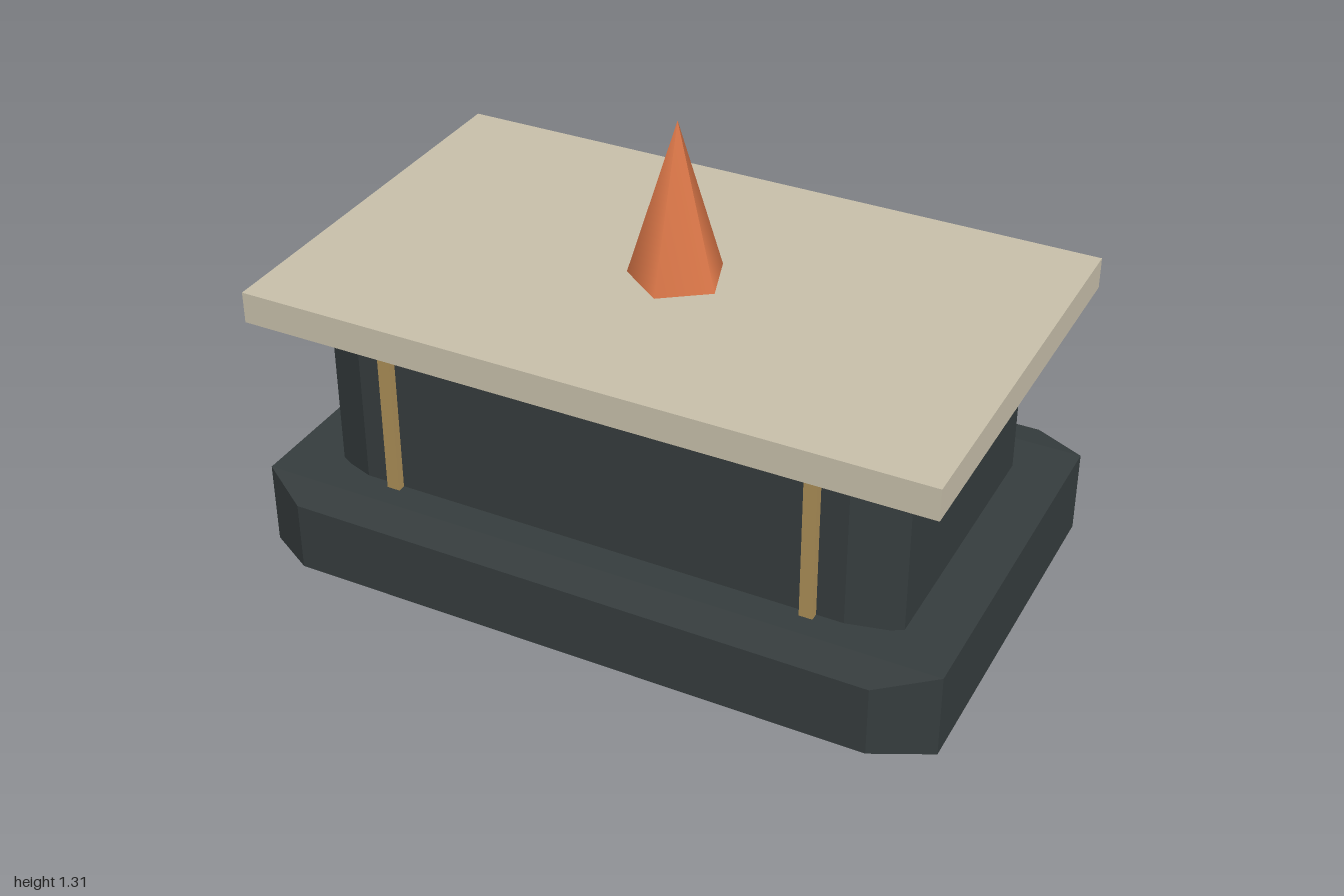
import * as THREE from 'three';

const material = (name, color) => new THREE.MeshStandardMaterial({ name, color });

// Block whose front and back ends taper in, leaving bevelled edges.
function bevelledBlock({ halfX, halfXEnd, halfZ, halfZEnd, halfY, halfYEnd }) {
  const box = new THREE.BoxGeometry(2, 2, 2, 1, 1, 3);
  const p = box.attributes.position;
  for (let i = 0; i < p.count; i++) {
    const z = p.getZ(i);
    const end = Math.abs(z) > 0.9;
    p.setXYZ(
      i,
      p.getX(i) * (end ? halfXEnd : halfX),
      p.getY(i) * (end ? halfYEnd : halfY),
      Math.sign(z) * (end ? halfZEnd : halfZ)
    );
  }
  const flat = box.toNonIndexed();
  flat.computeVertexNormals();
  return flat;
}

export function createModel() {
  const group = new THREE.Group();
  const dark = material('dark slate', 0x353c3d);
  const stone = material('pale stone', 0xc6bea9);
  const brass = material('brass', 0xa98c56);
  const orange = material('burnt orange', 0xdd7849);

  const add = (name, geometry, mat, x, y, z) => {
    const mesh = new THREE.Mesh(geometry, mat);
    mesh.name = name;
    mesh.position.set(x, y, z);
    group.add(mesh);
  };

  // Plinth and body
  add('plinth', bevelledBlock({
    halfX: 1, halfXEnd: 0.845, halfZ: 0.535, halfZEnd: 0.635, halfY: 0.123, halfYEnd: 0.103,
  }), dark, 0, 0.123, 0);
  add('body', bevelledBlock({
    halfX: 0.845, halfXEnd: 0.71, halfZ: 0.403, halfZEnd: 0.48, halfY: 0.265, halfYEnd: 0.228,
  }), dark, 0, 0.502, 0);

  // Table top
  add('topSlab', new THREE.BoxGeometry(1.96, 0.091, 1.194), stone, 0, 0.803, 0);

  // Front trim strips
  for (const side of [-1, 1]) {
    add(side > 0 ? 'leftTrim' : 'rightTrim',
      new THREE.BoxGeometry(0.038, 0.458, 0.04), brass, side * 0.615, 0.503, 0.483);
  }

  // Five-sided spike
  add('spike', new THREE.ConeGeometry(0.137, 0.457, 5), orange, 0, 1.077, 0);

  return group;
}
